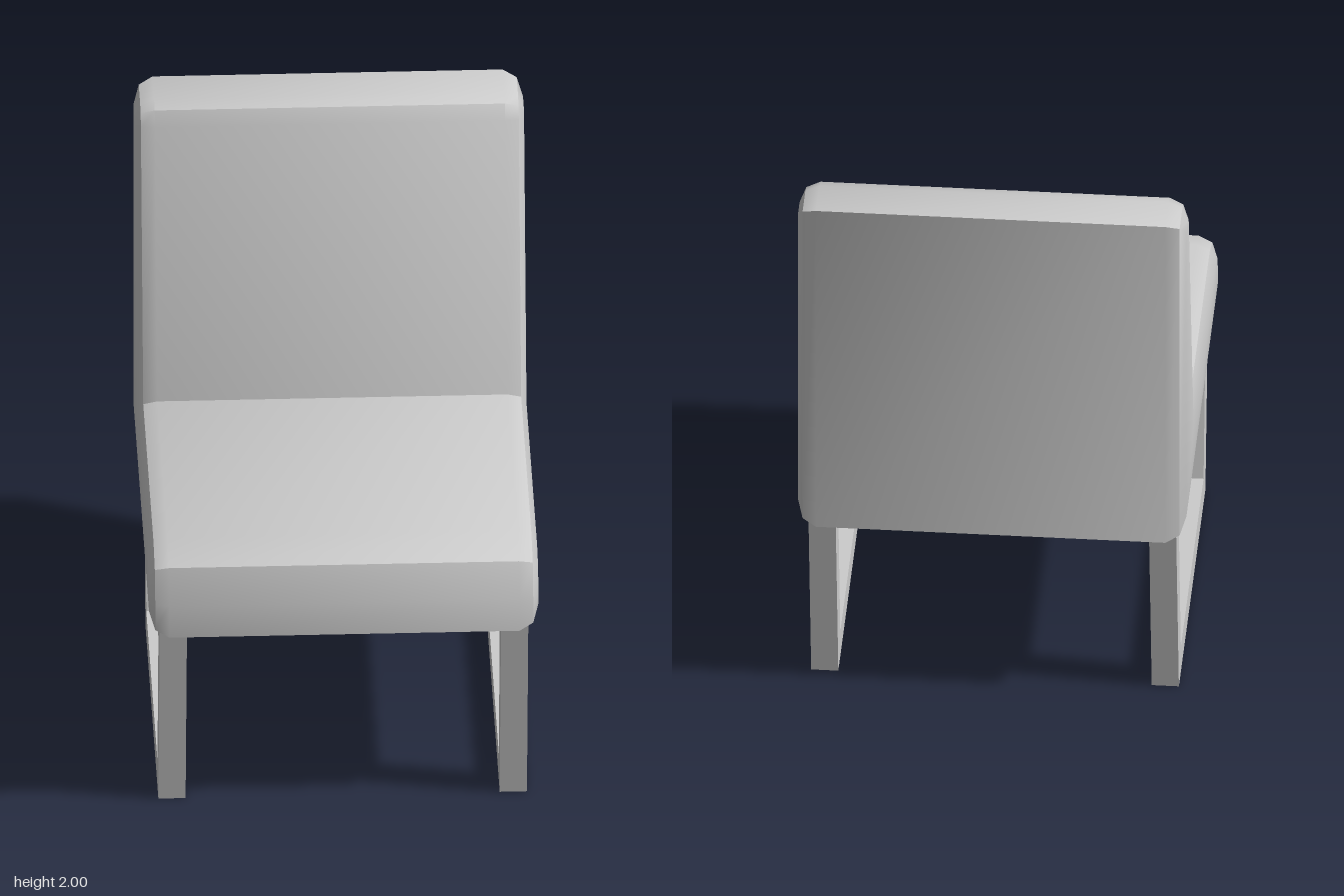
import * as THREE from 'three';
import { toCreasedNormals } from 'three/addons/utils/BufferGeometryUtils.js';

const material = new THREE.MeshStandardMaterial({ color: 0xcccccc });

const points = (list) => list.map(([z, y]) => new THREE.Vector2(z, y));

// Extrudes a side profile given as (z, y) across x, centred on x = 0
function extrudeAcross(shape, width, bevel = 0) {
  const depth = width - 2 * bevel;
  const geometry = new THREE.ExtrudeGeometry(shape, {
    depth,
    bevelEnabled: bevel > 0,
    bevelSize: bevel,
    bevelThickness: bevel,
    bevelOffset: -bevel,
    bevelSegments: 2,
  });
  geometry.translate(0, 0, -depth / 2);
  geometry.rotateY(-Math.PI / 2);
  return geometry;
}

export function createModel() {
  const chair = new THREE.Group();
  chair.name = 'chair';

  // Upholstered seat and backrest in one padded body
  const profile = new THREE.Shape(points([
    [0.73, 0.715], [0.73, 0.835], [0.68, 0.953], [0.563, 1.0],
    [-0.31, 1.0], [-0.507, 1.937], [-0.54, 1.983], [-0.588, 2.0],
    [-0.73, 2.0], [-0.73, 0.715],
  ]));
  const body = new THREE.Mesh(
    toCreasedNormals(extrudeAcross(profile, 1.287, 0.065), 0.6), material);
  body.name = 'seatAndBackrest';
  chair.add(body);

  // Tapered sled frames, one on each side
  const frame = new THREE.Shape(points([
    [-0.545, 0], [0.571, 0], [0.689, 0.715], [-0.661, 0.715],
  ]));
  frame.holes.push(new THREE.Path(points([
    [-0.463, 0.1], [-0.543, 0.623], [0.573, 0.623], [0.492, 0.1],
  ])));
  const frameGeometry = extrudeAcross(frame, 0.09);
  for (const [name, side] of [['leftLegFrame', 1], ['rightLegFrame', -1]]) {
    const legs = new THREE.Mesh(frameGeometry, material);
    legs.name = name;
    legs.position.x = side * 0.564;
    chair.add(legs);
  }

  return chair;
}
